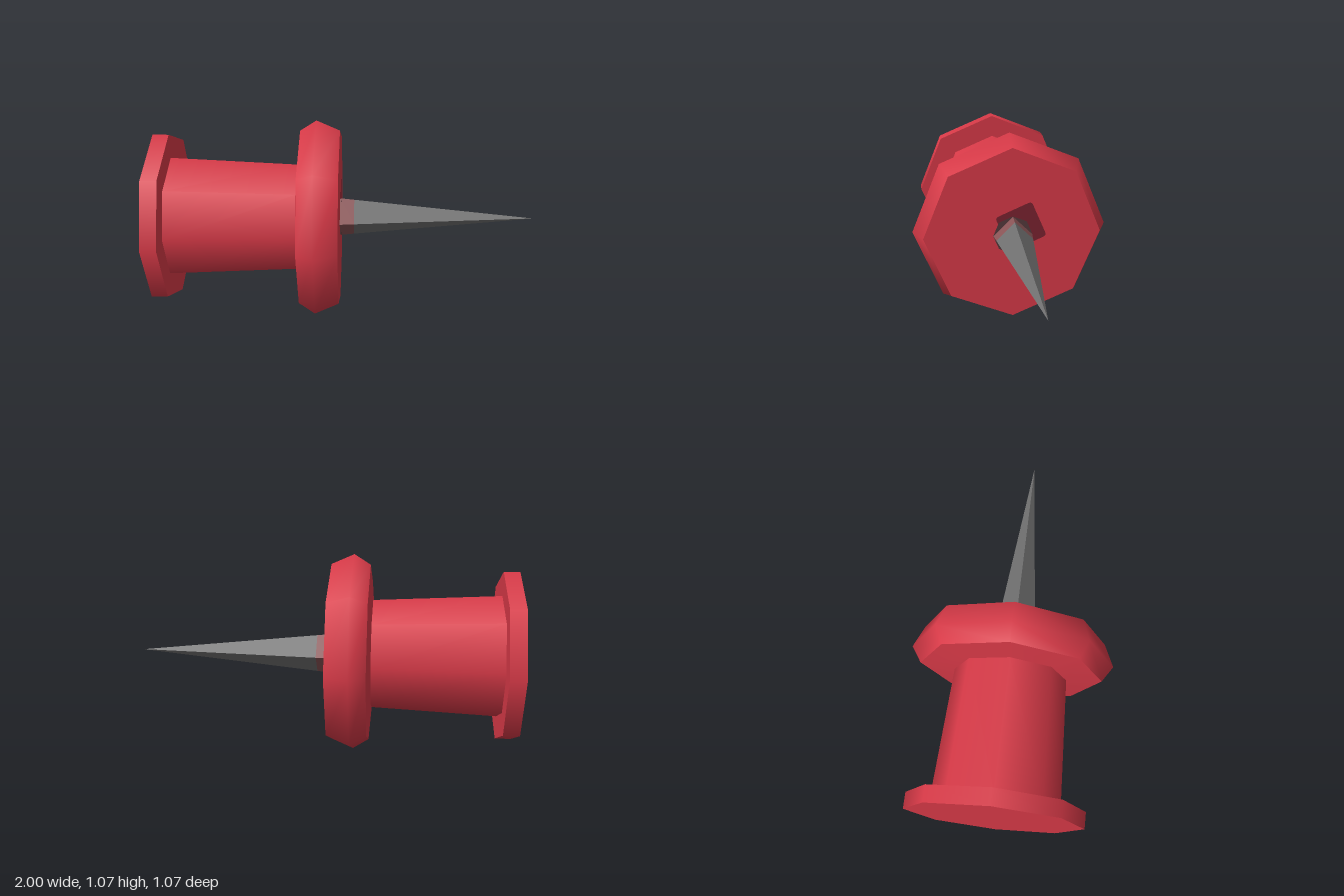
import * as THREE from 'three';

const mat = (name, color) => {
  const m = new THREE.MeshStandardMaterial({ color });
  m.name = name;
  return m;
};

export function createModel() {
  const red = mat('red plastic', 0xd93a48);
  const darkRed = mat('dark red', 0x7a2230);
  const steel = mat('steel', 0x707070);
  const stained = mat('reddish steel', 0x8a5456);
  const socketTone = mat('socket shade', 0x553a3c);

  // The pin lies along x; parts are built upright and the whole group is tipped over
  const pin = new THREE.Group();
  pin.name = 'pin';
  pin.rotation.z = -Math.PI / 2;
  pin.position.y = 0.535;

  const add = (name, geometry, material) => {
    const mesh = new THREE.Mesh(geometry, material);
    mesh.name = name;
    pin.add(mesh);
    return mesh;
  };
  // Eight-sided turned band, smooth within itself, sharp against its neighbours; points are [radius, along]
  const band = (name, ...points) =>
    add(name, new THREE.LatheGeometry(points.map(p => new THREE.Vector2(...p)), 8), red);

  // Flat end flange
  band('flangeEnd', [0, -1], [0.453, -1]);
  band('flangeRim', [0.453, -1], [0.453, -0.916]);
  band('flangeInner', [0.453, -0.916], [0.327, -0.916]);

  // Tapered grip
  band('grip', [0.327, -0.916], [0.295, -0.25]);

  // Bevelled collar
  band('collarBack', [0.295, -0.25], [0.48, -0.235]);
  band('collarRim', [0.48, -0.235], [0.535, -0.15], [0.482, -0.03]);
  band('collarFace', [0.482, -0.03], [0, -0.03]);

  // Four-sided needle with a stained root
  const frustum = (name, r0, r1, y0, y1, material) => {
    const g = new THREE.CylinderGeometry(r1, r0, y1 - y0, 4, 1, true).toNonIndexed();
    g.computeVertexNormals();
    g.translate(0, (y0 + y1) / 2, 0);
    add(name, g, material);
  };
  frustum('needleRoot', 0.107, 0.099, -0.03, 0.045, stained);
  frustum('needle', 0.099, 0, 0.045, 1, steel);

  // Thin painted marks on the collar face around the needle
  const socket = add('socketMark', new THREE.CircleGeometry(0.107, 8), socketTone);
  socket.rotation.x = -Math.PI / 2;
  socket.position.y = -0.024;

  const h = 0.107, c = 0.02;
  const square = new THREE.Shape();
  square.moveTo(-h + c, -h);
  square.lineTo(h - c, -h);
  square.quadraticCurveTo(h, -h, h, -h + c);
  square.lineTo(h, h - c);
  square.quadraticCurveTo(h, h, h - c, h);
  square.lineTo(-h + c, h);
  square.quadraticCurveTo(-h, h, -h, h - c);
  square.lineTo(-h, -h + c);
  square.quadraticCurveTo(-h, -h, -h + c, -h);
  const patch = new THREE.ShapeGeometry(square, 4);
  patch.rotateZ(THREE.MathUtils.degToRad(23));
  patch.rotateX(-Math.PI / 2);
  // Upright frame: -x becomes up, z stays z
  patch.rotateY(Math.PI / 2);
  patch.translate(-0.045, -0.027, -0.045);
  add('darkPatch', patch, darkRed);

  const model = new THREE.Group();
  model.name = 'pushPin';
  model.add(pin);
  return model;
}
